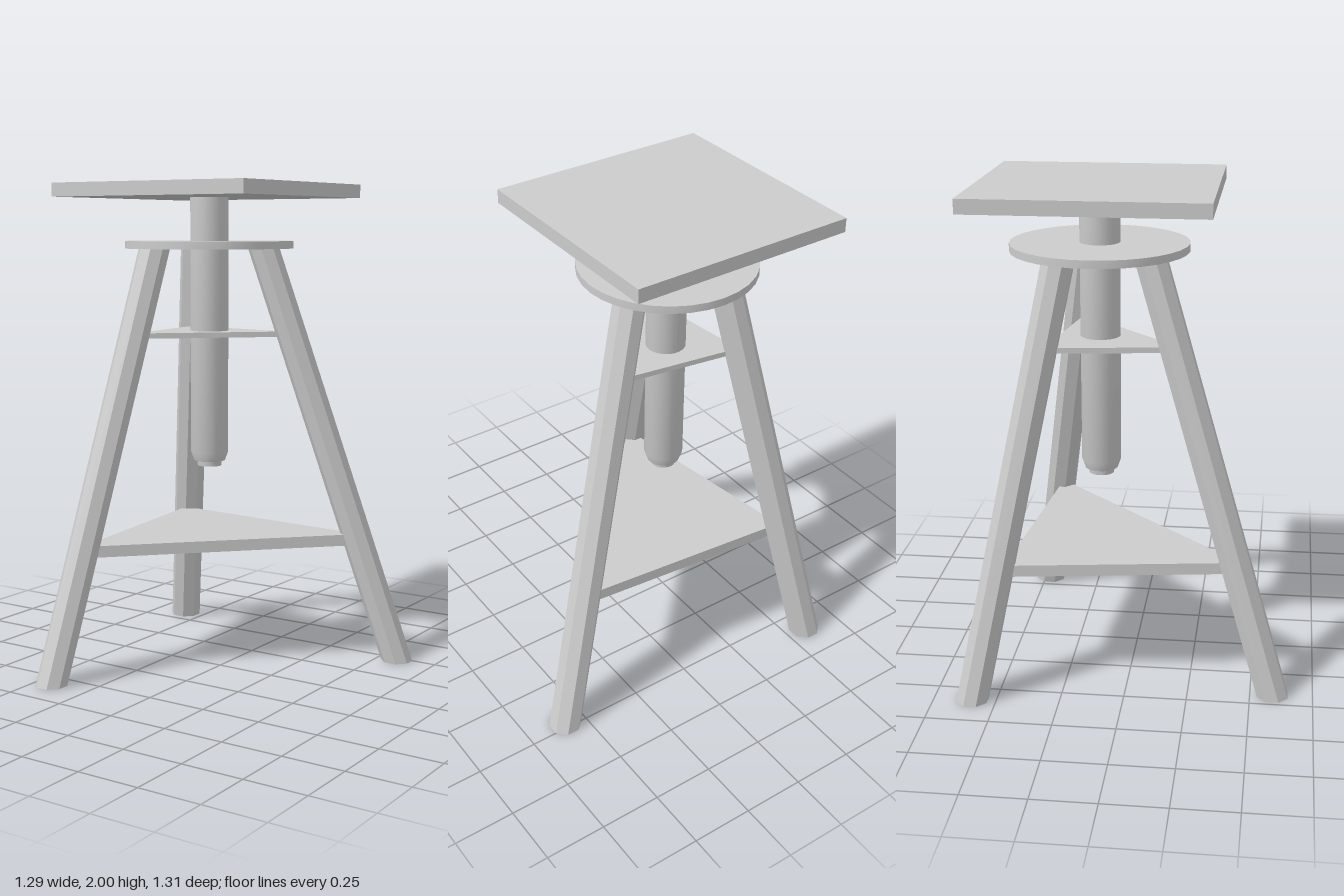
import * as THREE from 'three';
import { toCreasedNormals } from 'three/addons/utils/BufferGeometryUtils.js';

const CX = -0.14, CZ = -0.13; // axis of the seat and its post
const LEG_TOP = 1.735;

// Foot and top centres [x, z] of the three splayed legs
const LEGS = [
  { name: 'frontLeg', foot: [-0.423, 0.59], top: [-0.27, 0.08] },
  { name: 'leftLeg', foot: [0.585, -0.475], top: [0.08, -0.205] },
  { name: 'backLeg', foot: [-0.588, -0.595], top: [-0.3, -0.265] },
];

export function createModel() {
  const model = new THREE.Group();
  const flat = new THREE.MeshStandardMaterial({ color: 0xcccccc, flatShading: true });
  const smooth = new THREE.MeshStandardMaterial({ color: 0xcccccc });

  const add = (name, geometry, material, x = 0, y = 0, z = 0) => {
    const mesh = new THREE.Mesh(geometry, material);
    mesh.name = name;
    mesh.position.set(x, y, z);
    model.add(mesh);
  };

  // Octagonal leg, sheared so that its ends stay level
  const legGeometry = ({ foot, top }) => {
    const g = new THREE.CylinderGeometry(0.066, 0.066, LEG_TOP, 8);
    g.rotateY(Math.PI / 8);
    g.translate(0, LEG_TOP / 2, 0);
    const p = g.attributes.position;
    for (let i = 0; i < p.count; i++) {
      const t = p.getY(i) / LEG_TOP;
      p.setX(i, p.getX(i) + THREE.MathUtils.lerp(foot[0], top[0], t));
      p.setZ(i, p.getZ(i) + THREE.MathUtils.lerp(foot[1], top[1], t));
    }
    g.computeVertexNormals();
    return g;
  };

  // Level triangular plate with corners given as [x, z]
  const plateGeometry = (corners, thickness) => {
    const shape = new THREE.Shape(corners.map(([x, z]) => new THREE.Vector2(x, -z)));
    const g = new THREE.ExtrudeGeometry(shape, { depth: thickness, bevelEnabled: false });
    return g.rotateX(-Math.PI / 2);
  };

  // Square seat
  add('seat', new THREE.BoxGeometry(0.92, 0.056, 0.92), flat, CX, 1.972, CZ);

  // Round plate under the seat
  const disc = toCreasedNormals(new THREE.CylinderGeometry(0.35, 0.35, 0.031, 32), 0.6);
  add('topDisc', disc, smooth, CX, 1.75, CZ);

  // Central post with a stepped, tapered tip
  const profile = [
    [0, 0.822], [0.05, 0.822], [0.052, 0.842], [0.066, 0.845],
    [0.079, 0.882], [0.079, 1.95], [0, 1.95],
  ].map(([r, y]) => new THREE.Vector2(r, y));
  add('post', toCreasedNormals(new THREE.LatheGeometry(profile, 32), 0.4), smooth, CX, 0, CZ);

  // Legs
  for (const leg of LEGS) add(leg.name, legGeometry(leg), flat);

  // Triangular braces between the legs
  add('lowerShelf', plateGeometry([[-0.37, 0.45], [0.45, -0.385], [-0.5, -0.47]], 0.047), flat, 0, 0.499, 0);
  add('upperBrace', plateGeometry([[-0.29, 0.2], [0.165, -0.24], [-0.355, -0.32]], 0.022), flat, 0, 1.372, 0);

  return model;
}
